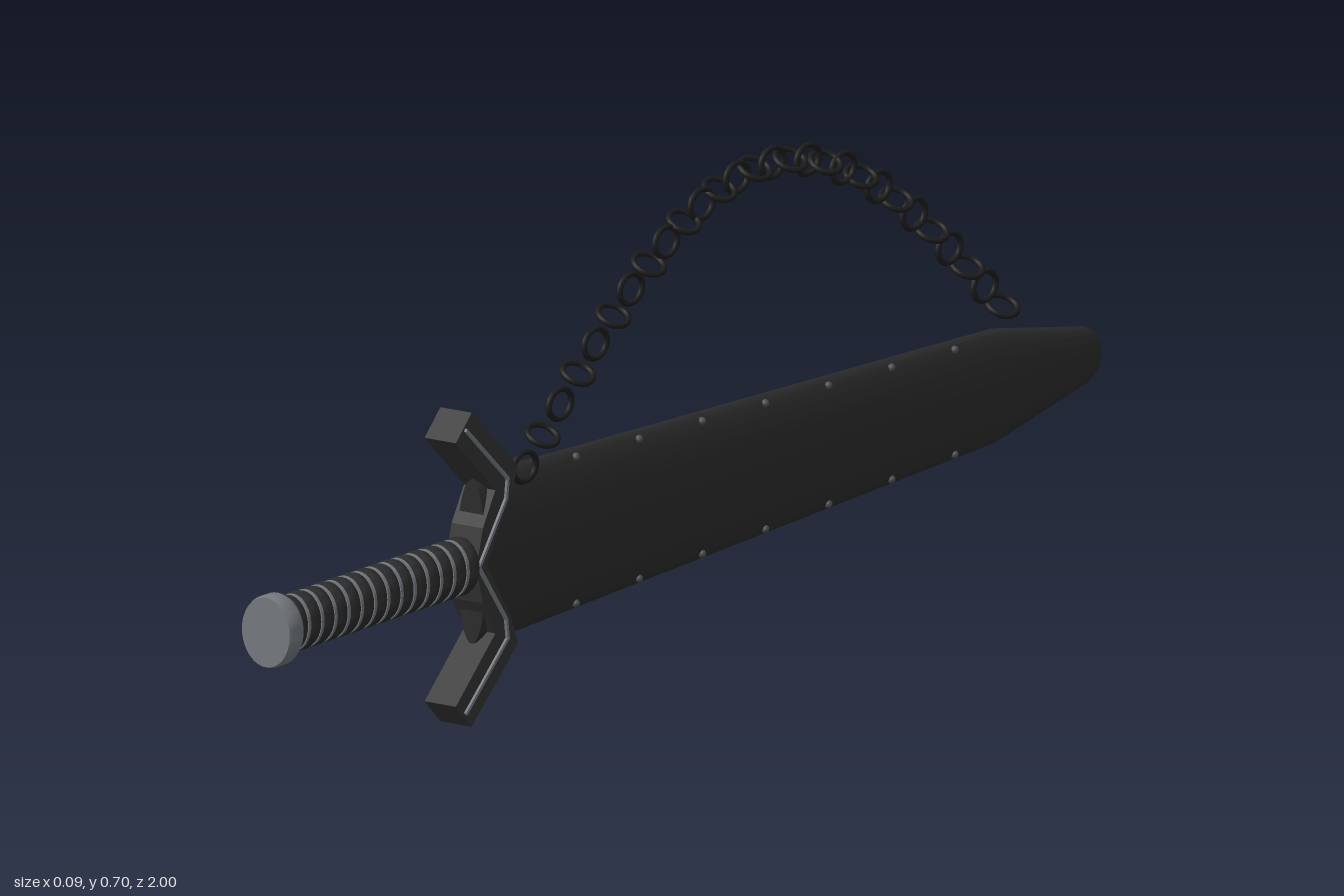
import * as THREE from 'three';
import { toCreasedNormals } from 'three/addons/utils/BufferGeometryUtils.js';

const CY = 0.235; // height of the sword's long axis

const mat = (name, color) => {
  const m = new THREE.MeshStandardMaterial({ color });
  m.name = name;
  return m;
};

// Lathe along z from [z, halfHeight, halfWidth] stations, flattened sideways into ellipses
function ellipticLathe(stations, segments, crease) {
  const pts = stations.map(([z, h]) => new THREE.Vector2(h, z));
  const geo = new THREE.LatheGeometry(pts, segments);
  geo.rotateX(Math.PI / 2);
  const p = geo.attributes.position;
  const n = stations.length;
  for (let i = 0; i < p.count; i++) {
    const [, h, w] = stations[i % n];
    if (h > 0) p.setX(i, p.getX(i) * w / h);
  }
  return toCreasedNormals(geo, crease);
}

export function createModel() {
  const model = new THREE.Group();
  const leather = mat('sheath black', 0x2b2b2b);
  const iron = mat('guard charcoal', 0x333333);
  const wrap = mat('grip black', 0x2a2a2b);
  const chainIron = mat('chain black', 0x1c1c1c);
  const steel = mat('steel grey', 0x73787d);
  const rivet = mat('rivet grey', 0x4a4c4e);

  const add = (parent, name, geo, material, x = 0, y = 0, z = 0) => {
    const mesh = new THREE.Mesh(geo, material);
    mesh.name = name;
    mesh.position.set(x, y, z);
    parent.add(mesh);
    return mesh;
  };

  // Sheath with a blunt, tapered tip
  const sheath = [
    [-1, 0, 0], [-1, 0.018, 0.01], [-0.99, 0.032, 0.015], [-0.97, 0.042, 0.018],
    [-0.75, 0.084, 0.023], [0.44, 0.124, 0.027], [0.505, 0.12, 0.026], [0.505, 0, 0],
  ];
  add(model, 'sheath', ellipticLathe(sheath, 64, 0.6), leather, 0, CY, 0);

  // Rivets along both edges of the sheath's left face
  const rivets = new THREE.Group();
  rivets.name = 'rivets';
  const rivetGeo = new THREE.SphereGeometry(0.006, 10, 8);
  for (let i = 0; i < 7; i++) {
    const z = 0.27 - i * 0.152;
    const half = THREE.MathUtils.mapLinear(z, -0.75, 0.44, 0.084, 0.124);
    for (const s of [-1, 1]) add(rivets, 'rivet', rivetGeo, rivet, 0.012, CY + s * (half - 0.011), z);
  }
  model.add(rivets);

  // Guard: mirrored outline in (z, height above axis)
  const half = [[0.515, 0.055], [0.485, 0.105], [0.58, 0.193], [0.542, 0.23], [0.43, 0.13], [0.447, 0.09]];
  const outline = [
    ...half, [0.505, 0],
    ...half.map(([z, y]) => [z, -y]).reverse(), [0.53, 0],
  ];
  const guardGeo = new THREE.ExtrudeGeometry(
    new THREE.Shape(outline.map(([z, y]) => new THREE.Vector2(z, y))),
    { depth: 0.055, bevelEnabled: false });
  guardGeo.rotateY(-Math.PI / 2);
  add(model, 'guard', guardGeo, iron, 0.0275, CY, 0);

  // Steel trim line on the guard's left face
  const trim = new THREE.Group();
  trim.name = 'guardTrim';
  const line = [[0.558, 0.207], [0.458, 0.117], [0.462, 0.088], [0.527, 0]];
  for (const s of [-1, 1]) {
    for (let i = 0; i < line.length - 1; i++) {
      const [z0, y0] = line[i], [z1, y1] = line[i + 1];
      const len = Math.hypot(z1 - z0, y1 - y0);
      const bar = add(trim, 'trimBar', new THREE.BoxGeometry(0.005, 0.005, len + 0.003), steel,
        0.029, CY + s * (y0 + y1) / 2, (z0 + z1) / 2);
      bar.rotation.x = -Math.atan2(s * (y1 - y0), z1 - z0);
    }
  }
  model.add(trim);

  // Grip: bulged wraps separated by steel rings
  const wraps = 14, g0 = 0.525, step = (0.97 - g0) / wraps;
  const bulge = [[0, 0.036, 0.028], [0.12, 0.041, 0.032], [0.35, 0.043, 0.034],
    [0.65, 0.043, 0.034], [0.88, 0.041, 0.032], [1, 0.036, 0.028]];
  const wrapGeo = ellipticLathe(bulge.map(([t, h, w]) => [t * step, h, w]), 32, 1);
  const ringGeo = ellipticLathe([[-0.003, 0.036, 0.028], [-0.003, 0.042, 0.033],
    [0.003, 0.042, 0.033], [0.003, 0.036, 0.028]], 32, 0.6);
  const grip = new THREE.Group();
  grip.name = 'grip';
  for (let i = 0; i < wraps; i++) {
    add(grip, 'gripWrap', wrapGeo, wrap, 0, CY, g0 + i * step);
    if (i > 0) add(grip, 'gripRing', ringGeo, steel, 0, CY, g0 + i * step);
  }
  model.add(grip);

  // Pommel
  const pommel = [[0.965, 0, 0], [0.965, 0.049, 0.041], [0.972, 0.053, 0.044],
    [0.994, 0.053, 0.044], [1, 0.051, 0.042], [1, 0, 0]];
  add(model, 'pommel', ellipticLathe(pommel, 40, 0.7), steel, 0, CY - 0.002, 0);

  // Chain: oval links on an arch, alternately upright and tilted
  const chain = new THREE.Group();
  chain.name = 'chain';
  const linkGeo = new THREE.TorusGeometry(0.0215, 0.0042, 8, 24);
  linkGeo.rotateY(Math.PI / 2);
  linkGeo.scale(1, 1, 1.27);
  const links = 28;
  for (let i = 0; i < links; i++) {
    const t = i / (links - 1);
    const link = add(chain, 'chainLink', linkGeo, chainIron,
      0.017, 0.355 + 0.324 * Math.sin(Math.PI * t), 0.4 - 1.15 * t);
    if (i % 2) link.rotation.z = 0.98;
  }
  model.add(chain);

  return model;
}
